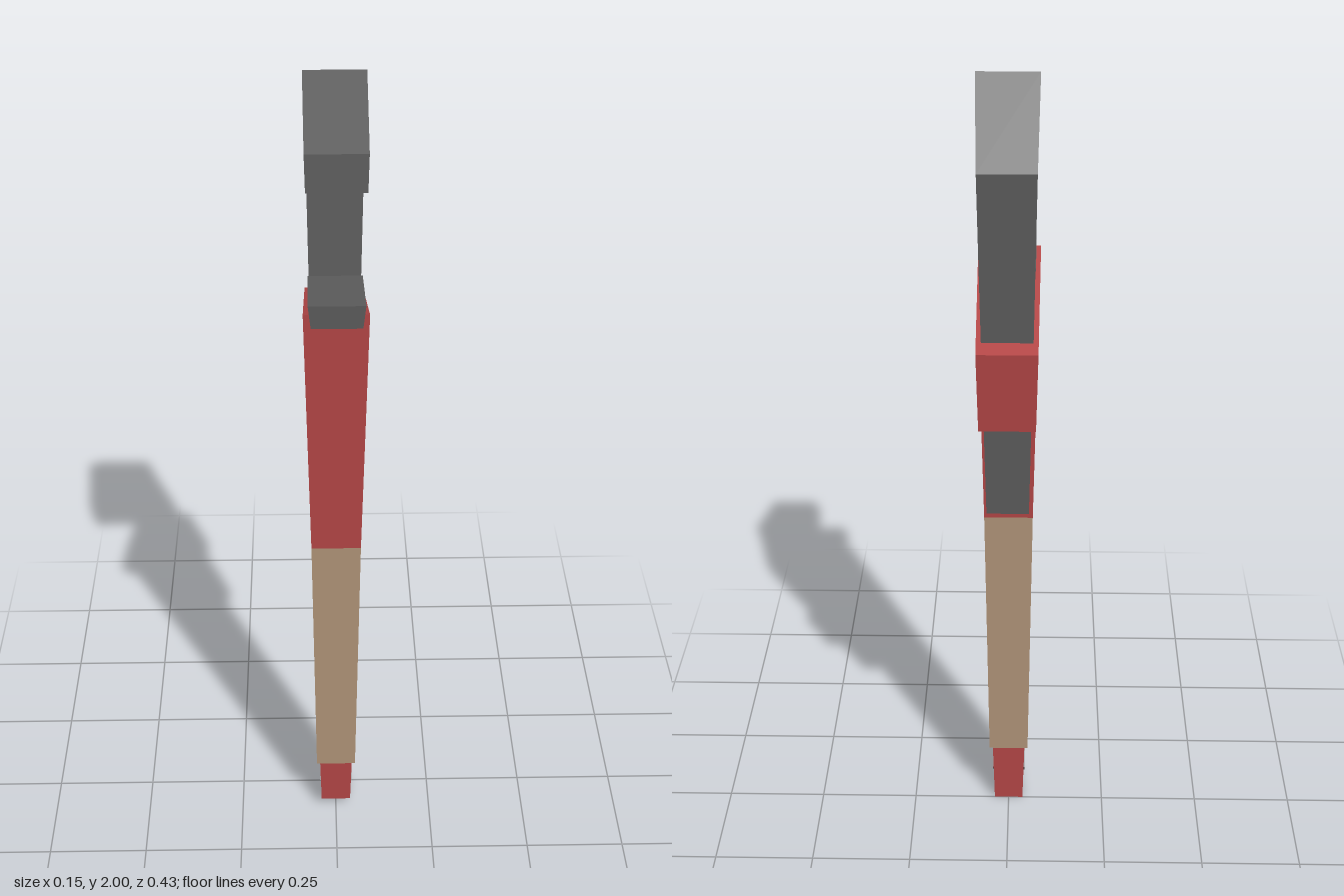
import * as THREE from 'three';

const mat = (name, color) => {
  const m = new THREE.MeshStandardMaterial({ color, flatShading: true });
  m.name = name;
  return m;
};

// Slab from a side profile of [z, y, halfWidth]; group 0 = the two flat sides, group 1 = the rim
function slab(name, profile, sideMat, rimMat) {
  const flat = profile.map(([z, y]) => new THREE.Vector2(z, y));
  const pts = profile.slice();
  if (THREE.ShapeUtils.isClockWise(flat)) {
    flat.reverse();
    pts.reverse();
  }
  const pos = [];
  const put = (i, s) => pos.push(s * pts[i][2], pts[i][1], pts[i][0]);
  for (const [a, b, c] of THREE.ShapeUtils.triangulateShape(flat, [])) {
    put(a, -1); put(b, -1); put(c, -1);
    put(c, 1); put(b, 1); put(a, 1);
  }
  const sideCount = pos.length / 3;
  for (let a = 0; a < pts.length; a++) {
    const b = (a + 1) % pts.length;
    put(a, -1); put(a, 1); put(b, 1);
    put(a, -1); put(b, 1); put(b, -1);
  }
  const geo = new THREE.BufferGeometry();
  geo.setAttribute('position', new THREE.Float32BufferAttribute(pos, 3));
  geo.addGroup(0, sideCount, 0);
  geo.addGroup(sideCount, pos.length / 3 - sideCount, 1);
  geo.computeVertexNormals();
  const mesh = new THREE.Mesh(geo, [sideMat, rimMat]);
  mesh.name = name;
  return mesh;
}

export function createModel() {
  const steel = mat('steel', 0x5f5f5f);
  const red = mat('red paint', 0xb34646);
  const darkRed = mat('dark red paint', 0x893537);
  const wood = mat('light wood', 0xb09478);
  const darkWood = mat('dark wood', 0x8e6f53);

  const group = new THREE.Group();
  group.name = 'pipeWrench';

  // Handle: tail end, wooden grip, painted head with the collar behind it
  group.add(slab('handleEnd', [
    [0.105, 0.18, 0.042], [0.1, 0.03, 0.038], [0, 0, 0.037], [-0.002, 0.18, 0.042],
  ], darkRed, red));
  group.add(slab('grip', [
    [0.127, 0.89, 0.059], [0.111, 0.17, 0.05], [-0.005, 0.17, 0.05], [-0.022, 0.89, 0.059],
  ], darkWood, wood));
  group.add(slab('headAndCollar', [
    [0.14, 1.53, 0.073], [0.127, 0.89, 0.059], [-0.022, 0.89, 0.059],
    [-0.033, 1.2, 0.065], [-0.19, 1.215, 0.065], [-0.207, 1.412, 0.069],
  ], darkRed, red));

  // Fixed lower jaw
  group.add(slab('lowerJaw', [
    [0.215, 1.592, 0.062], [0.21, 1.535, 0.056], [-0.025, 1.485, 0.056], [-0.022, 1.54, 0.062],
  ], steel, steel));

  // Sliding hook jaw with its shank running down through the collar
  group.add(slab('hookJaw', [
    [-0.073, 2, 0.069], [0.165, 1.913, 0.067], [0.165, 1.828, 0.065],
    [-0.047, 1.775, 0.063], [-0.04, 1.45, 0.058], [-0.03, 0.973, 0.05],
    [-0.122, 0.96, 0.05], [-0.17, 1.42, 0.058], [-0.212, 1.825, 0.064],
  ], steel, steel));

  // Diamond pin through the handle end
  const pin = new THREE.Mesh(new THREE.CylinderGeometry(0.041, 0.041, 0.084, 4), steel);
  pin.name = 'handlePin';
  pin.rotation.z = Math.PI / 2;
  pin.position.set(0, 0.093, 0.052);
  group.add(pin);

  return group;
}
